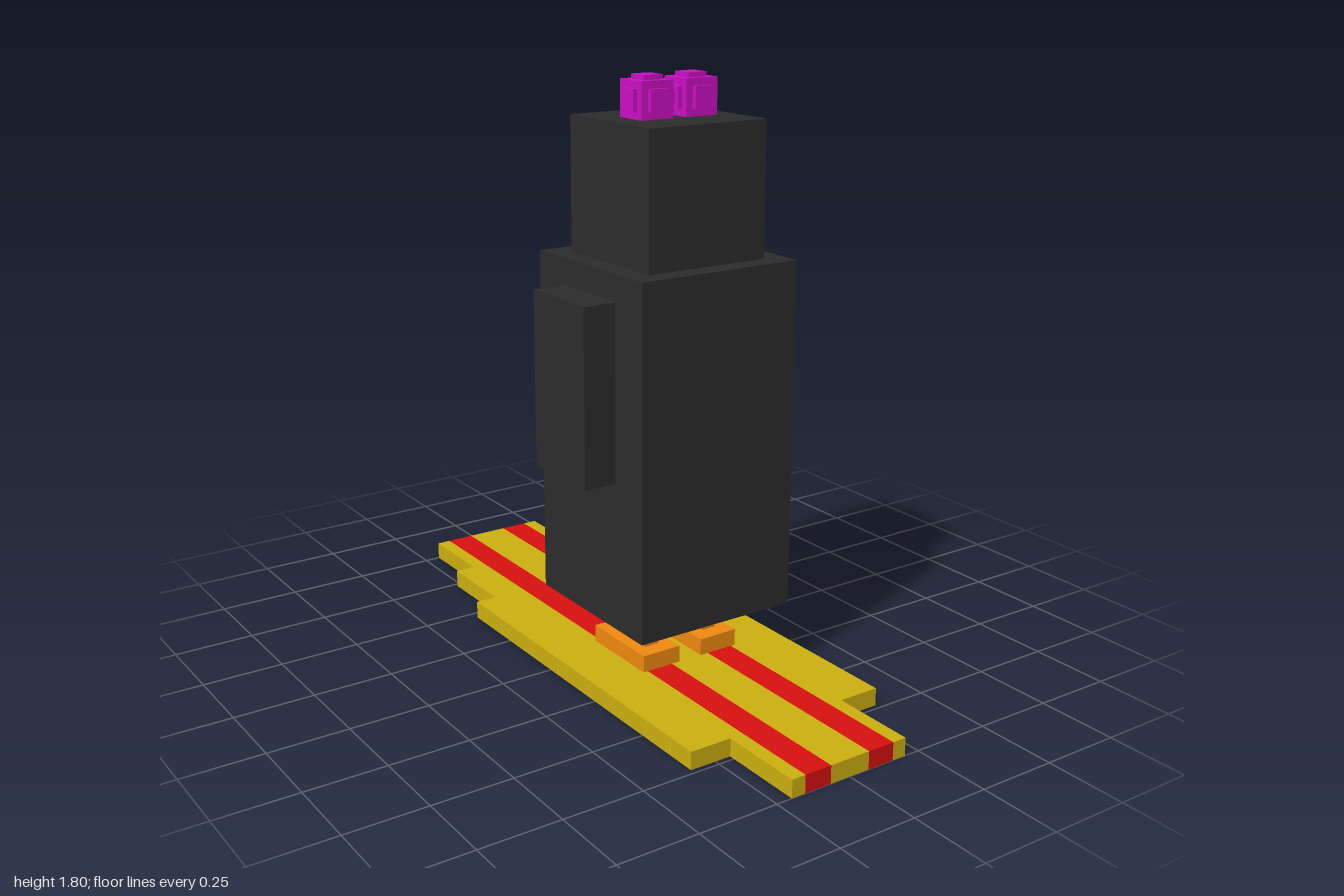
import * as THREE from 'three';

const paint = (color) => new THREE.MeshStandardMaterial({ color });

export function createModel() {
  const model = new THREE.Group();
  const black = paint(0x2c2c2c), white = paint(0xcccccc), orange = paint(0xf08a10);
  const yellow = paint(0xccb010), red = paint(0xd81010), magenta = paint(0xcc10c4);

  // Box given by its lower and upper limits on each axis
  function block(name, material, [x0, x1], [y0, y1], [z0, z1], parent = model) {
    const mesh = new THREE.Mesh(new THREE.BoxGeometry(x1 - x0, y1 - y0, z1 - z0), material);
    mesh.position.set((x0 + x1) / 2, (y0 + y1) / 2, (z0 + z1) / 2);
    mesh.name = name;
    parent.add(mesh);
    return mesh;
  }

  // Same box on both sides of the body
  function pair(name, material, [x0, x1], y, z) {
    block(name + 'Left', material, [x0, x1], y, z);
    block(name + 'Right', material, [-x1, -x0], y, z);
  }

  // Board: stepped outer planks, centre plank and two stripes through its thickness
  const outline = [[0.155, -1], [0.2, -1], [0.2, -0.735], [0.265, -0.735], [0.265, -0.467],
    [0.333, -0.467], [0.333, 0.733], [0.2, 0.733], [0.2, 1], [0.155, 1]];
  const planks = [1, -1].map((side) =>
    new THREE.Shape(outline.map(([x, z]) => new THREE.Vector2(side * x, -z))));
  const plankGeometry = new THREE.ExtrudeGeometry(planks, { depth: 0.055, bevelEnabled: false });
  plankGeometry.rotateX(-Math.PI / 2);
  const outerPlanks = new THREE.Mesh(plankGeometry, yellow);
  outerPlanks.name = 'boardSides';
  model.add(outerPlanks);
  block('boardCentre', yellow, [-0.067, 0.067], [0, 0.055], [-1, 1]);
  pair('boardStripe', red, [0.067, 0.155], [0, 0.055], [-1, 1]);

  // Feet and legs
  pair('foot', orange, [0.04, 0.17], [0.055, 0.107], [0, 0.267]);
  pair('leg', orange, [0.082, 0.131], [0.107, 0.22], [0.165, 0.215]);

  // Body, wings and belly, with the face toward -z
  block('body', black, [-0.267, 0.267], [0.22, 1.28], [-0.133, 0.4]);
  pair('wing', black, [0.267, 0.37], [0.67, 1.2], [0, 0.267]);
  block('belly', white, [-0.16, 0.16], [0.22, 1.2], [-0.135, -0.13]);

  // Head, eyes and beak
  block('head', black, [-0.2, 0.2], [1.28, 1.68], [-0.065, 0.335]);
  pair('eye', white, [0.04, 0.117], [1.523, 1.6], [-0.067, -0.06]);
  block('beak', orange, [-0.067, 0.067], [1.383, 1.46], [-0.125, -0.065]);

  // Bow: two blocky knots with a raised pad on every side, and a link between
  const bow = new THREE.Group();
  bow.name = 'bow';
  bow.position.set(0.005, 1.735, 0.135);
  model.add(bow);
  const core = [-0.054, 0.054], pad = [-0.032, 0.032], reach = [-0.068, 0.068];
  for (const x of [-0.076, 0.076]) {
    const knot = new THREE.Group();
    knot.name = x > 0 ? 'bowKnotLeft' : 'bowKnotRight';
    knot.position.x = x;
    bow.add(knot);
    block('knotCore', magenta, core, core, core, knot);
    block('knotPadsX', magenta, reach, pad, pad, knot);
    block('knotPadsY', magenta, pad, reach, pad, knot);
    block('knotPadsZ', magenta, pad, pad, reach, knot);
  }
  block('bowLink', magenta, [-0.03, 0.03], [-0.018, 0.018], [-0.017, 0.017], bow);

  return model;
}
